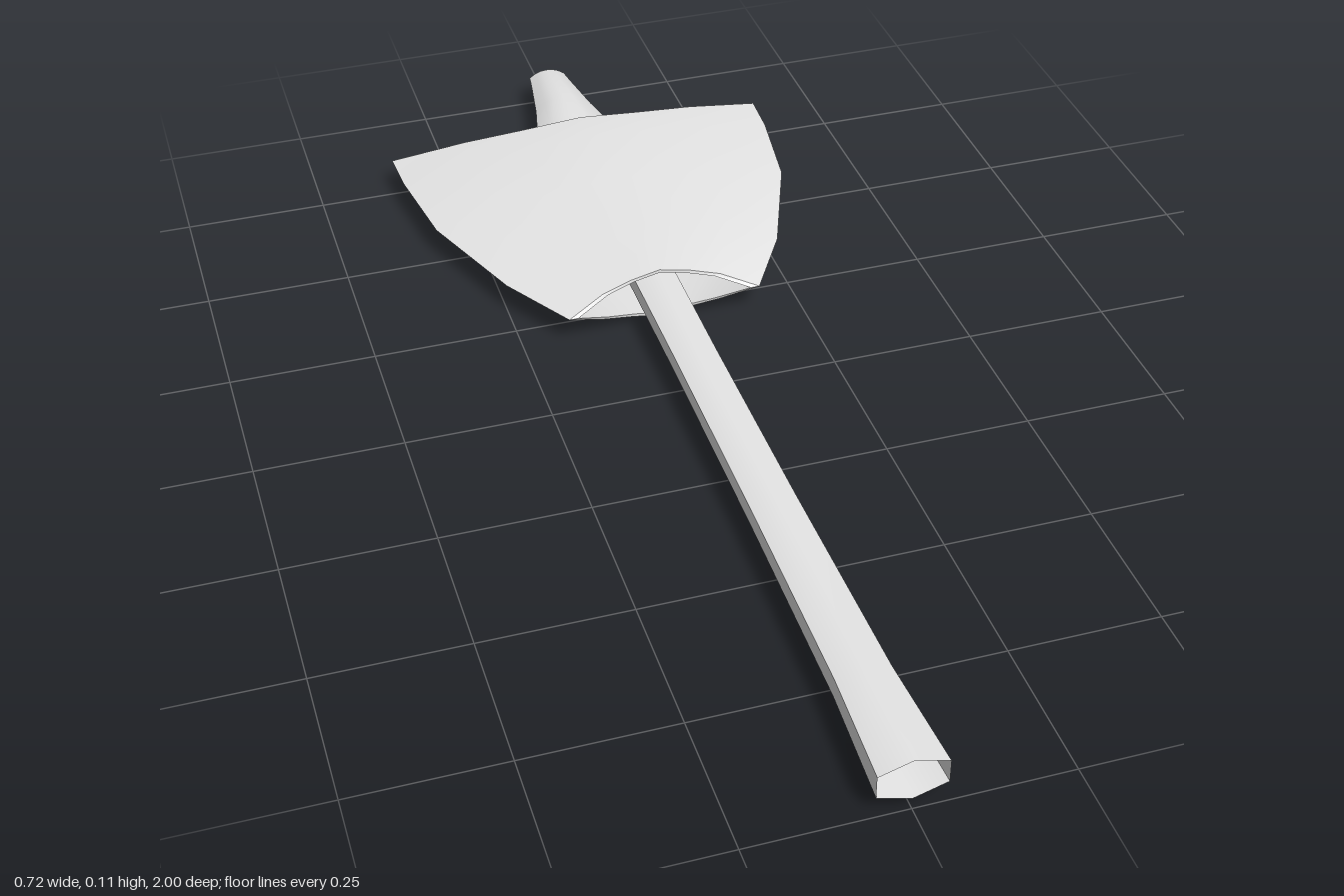
import * as THREE from 'three';
import { toCreasedNormals } from 'three/addons/utils/BufferGeometryUtils.js';

const AXIS_Y = 0.057; // height of the long axis
const lerp = THREE.MathUtils.lerp;

// Skin a list of equal-length rings of [x, y, z] points, running towards -z
function loft(rings, crease) {
  const n = rings[0].length, index = [];
  for (let r = 0; r < rings.length - 1; r++) {
    for (let i = 0; i < n; i++) {
      const a = r * n + i, b = r * n + (i + 1) % n;
      index.push(a, b, a + n, b, b + n, a + n);
    }
  }
  const geo = new THREE.BufferGeometry();
  geo.setAttribute('position', new THREE.Float32BufferAttribute(rings.flat(2), 3));
  geo.setIndex(index);
  return toCreasedNormals(geo, crease);
}

// Closed outline from its upper right quarter, mirrored left and down
function outline(quarter) {
  const upper = [...quarter, ...quarter.slice(0, -1).reverse().map(([x, y]) => [-x, y])];
  const lower = upper.filter(([, y]) => y > 0).reverse().map(([x, y]) => [x, -y]);
  return [...upper, ...lower];
}

const bladeSection = outline([[1, 0], [0.62, 0.55], [0.3, 0.81], [0, 1]]);
const spikeSection = outline([[1, 0], [0.65, 0.6], [0.35, 0.9], [0, 1]]);
const hexSection = outline([[1, 0.54], [0, 1]]);

const ring = (section, w, h, zAt) =>
  section.map(([x, y]) => [x * w, AXIS_Y + y * h, zAt(x)]);

export function createModel() {
  const model = new THREE.Group();
  const grey = new THREE.MeshStandardMaterial({ color: 0xe7e7e7, side: THREE.DoubleSide });
  grey.name = 'pale grey';
  const add = (name, geo) => {
    const mesh = new THREE.Mesh(geo, grey);
    mesh.name = name;
    model.add(mesh);
  };

  // Open hexagonal handle, flared at the grip end: z, half width, half height
  const shaft = [[1, 0.054, 0.037], [0.8, 0.044, 0.032], [0.4, 0.039, 0.029],
    [0, 0.037, 0.028], [-0.5, 0.038, 0.029]];
  add('shaft', loft(shaft.map(([z, w, h]) => ring(hexSection, w, h, () => z)), 0.75));

  // Hollow blade with curved rims: position along it, half width, half height
  const blade = [[0, 0.172, 0.048], [0.22, 0.25, 0.051], [0.57, 0.33, 0.054],
    [0.86, 0.355, 0.057], [1, 0.359, 0.053]];
  const bladeZ = (t) => (x) => lerp(-0.21 + 0.033 * x * x, -0.738 - 0.037 * x * x, t);
  const outer = blade.map(([t, w, h]) => ring(bladeSection, w, h, bladeZ(t)));
  const inner = blade.map(([t, w, h]) => ring(bladeSection, w - 0.016, h - 0.006, bladeZ(t)));
  add('blade', loft([...outer, ...inner.reverse(), outer[0]], 0.5));

  // Open tapered spike behind the blade: z, half width, half height
  const spike = [[-0.742, 0.083, 0.025], [-0.87, 0.055, 0.026], [-0.97, 0.039, 0.017],
    [-1, 0.035, 0.013]];
  add('spike', loft(spike.map(([z, w, h]) => ring(spikeSection, w, h, () => z)), 0.75));

  return model;
}
